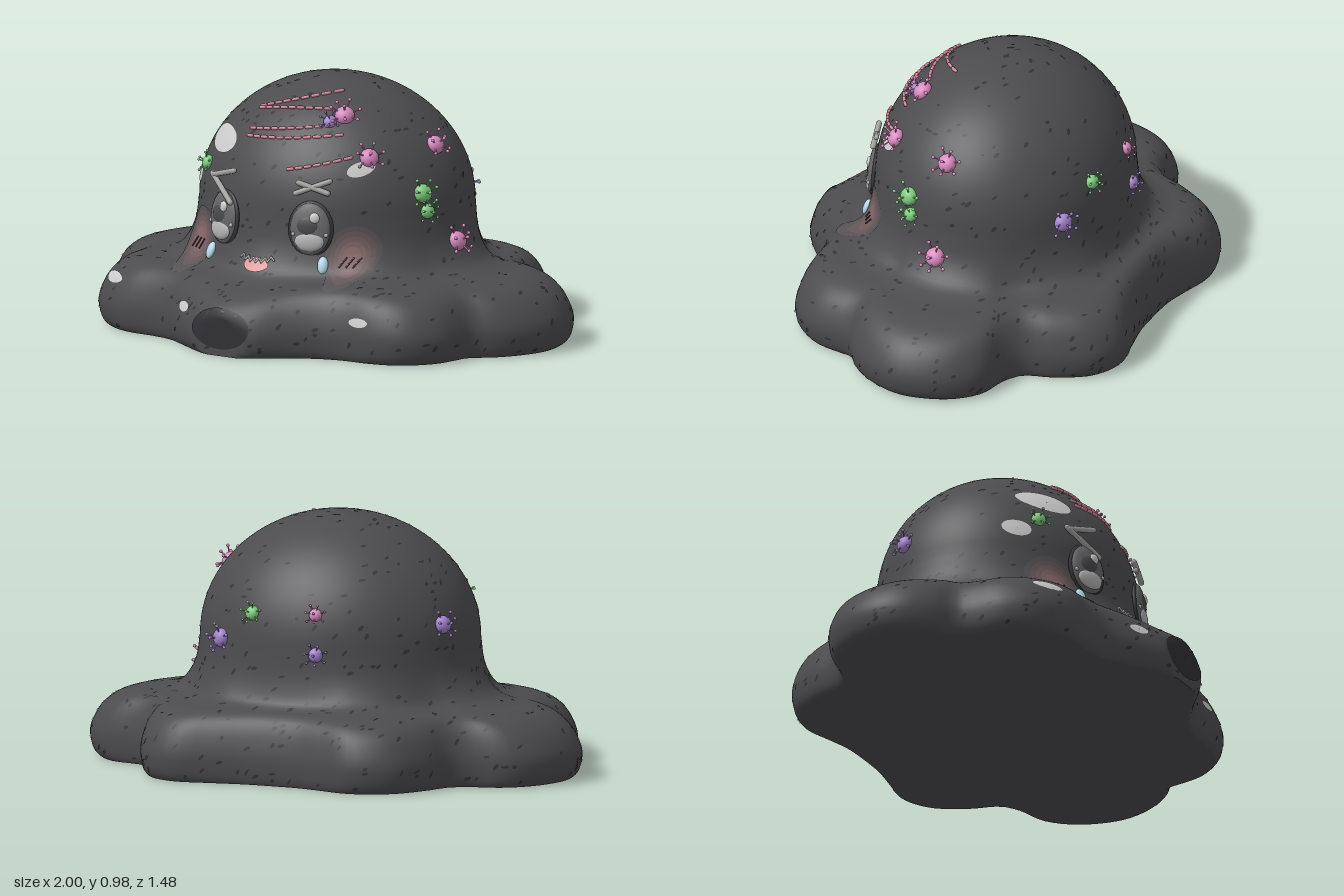
import * as THREE from 'three';
import { mergeGeometries } from 'three/addons/utils/BufferGeometryUtils.js';

const V = (x, y, z) => new THREE.Vector3(x, y, z);
const ZC = -0.035; // z of the dome axis
const mats = {};
const mat = (c) => (mats[c] ??= new THREE.MeshStandardMaterial({ color: c, side: THREE.DoubleSide }));

// Domed head flaring into a lobed skirt
function bodyGeometry() {
  const outline = new THREE.CatmullRomCurve3([
    [1, -.08], [.97, .05], [.9, .16], [.82, .23], [.81, .3], [.79, .4], [.7, .51], [.58, .55], [.45, .555], [.35, .58],
    [.25, .64], [.13, .735], [0, .79], [-.13, .735], [-.25, .66], [-.35, .6], [-.45, .58], [-.6, .57], [-.73, .5],
    [-.8, .38], [-.81, .28], [-.83, .2], [-.9, .15], [-.98, .04], [-1, -.08], [-.95, -.24], [-.85, -.34], [-.72, -.375],
    [-.65, -.42], [-.6, -.55], [-.52, -.68], [-.37, -.745], [-.22, -.71], [-.12, -.685], [0, -.68], [.12, -.685],
    [.25, -.71], [.4, -.735], [.52, -.68], [.6, -.55], [.64, -.43], [.71, -.385], [.85, -.35], [.95, -.25],
  ].map(([x, z]) => V(x, 0, z)), true);
  const N = 160, ring = outline.getSpacedPoints(N).slice(0, N);
  const skirt = new THREE.CatmullRomCurve3([
    [0, .5], [.04, .4], [.16, .315], [.35, .28], [.6, .265], [.8, .232], [.93, .175], [1, .1], [.975, .035], [.9, 0], [.8, 0],
  ].map(([f, y]) => V(f, y, 0))).getPoints(40);
  const pos = [], idx = [];
  const rows = [];
  for (let i = 0; i < 24; i++) {
    const a = (Math.max(i, .02) / 24) * Math.PI / 2;
    rows.push({ s: Math.sin(a), f: 0, y: .5 + .48 * Math.cos(a) });
  }
  skirt.forEach((p) => rows.push({ s: 1, f: p.x, y: Math.max(0, p.y) }));
  rows.push({ s: .001, f: 0, y: 0 });
  for (const { s, f, y } of rows) {
    for (const o of ring) {
      const a = Math.atan2(o.z - ZC, o.x), c = Math.cos(a), d = Math.sin(a);
      const r = s / Math.hypot(c / .545, d / .485);
      const x = c * r + (o.x - c * r) * f;
      const z = ZC + d * r + (o.z - ZC - d * r) * f;
      const low = o.z > 0 ? 1 - .25 * f * Math.exp(-((o.x / .25) ** 2)) : 1;
      pos.push(x, y * low, Math.min(z, .735));
    }
  }
  for (let j = 0; j < rows.length - 1; j++) {
    for (let i = 0; i < N; i++) {
      const a = j * N + i, b = j * N + (i + 1) % N;
      idx.push(a, b, a + N, b, b + N, a + N);
    }
  }
  const g = new THREE.BufferGeometry();
  g.setAttribute('position', new THREE.Float32BufferAttribute(pos, 3));
  g.setIndex(idx);
  g.computeVertexNormals();
  return g;
}

export function createModel() {
  const root = new THREE.Group();
  const body = new THREE.Mesh(bodyGeometry(), new THREE.MeshStandardMaterial({ color: 0x4c4c4f }));
  body.name = 'body';
  root.add(body);

  // Surface lookups: from the front, or sideways toward the dome axis
  const ray = new THREE.Raycaster();
  const cast = (from, dir) => {
    ray.set(from, dir.normalize());
    const h = ray.intersectObject(body)[0];
    return h && { p: h.point, n: h.normal.clone().normalize() };
  };
  const front = (x, y) => cast(V(x, y, 3), V(0, 0, -1));
  const around = (x, y, z) => {
    const d = V(x, 0, z - ZC).normalize();
    return cast(V(0, y, ZC).addScaledVector(d, 3), d.negate());
  };
  const add = (name, geo, color, parent = root) => {
    const m = new THREE.Mesh(geo, mat(color));
    m.name = name;
    parent.add(m);
    return m;
  };
  const place = (o, h, off = 0) => {
    o.position.copy(h.p).addScaledVector(h.n, off);
    o.lookAt(o.position.clone().add(h.n));
    return o;
  };
  const ball = (name, r, color, parent, x, y, z, sx = 1, sy = 1, sz = 1) => {
    const m = add(name, new THREE.SphereGeometry(r, 20, 14), color, parent);
    m.position.set(x, y, z);
    m.scale.set(sx, sy, sz);
    return m;
  };
  const rod = (name, a, b, r, color, parent = root) => {
    const m = add(name, new THREE.CapsuleGeometry(r, a.distanceTo(b), 3, 8), color, parent);
    m.position.lerpVectors(a, b, .5);
    m.quaternion.setFromUnitVectors(V(0, 1, 0), b.clone().sub(a).normalize());
    return m;
  };
  const lift = (x, y, off) => { const h = front(x, y); return h.p.addScaledVector(h.n, off); };

  // Elliptical patch or ring hugging the surface
  function patch(name, cx, cy, rx, ry, color, tilt = 0, inner = 0, off = .004) {
    const g = new THREE.RingGeometry(Math.max(inner, .01), 1, 28, 4), p = g.attributes.position;
    for (let i = 0; i < p.count; i++) {
      const x = p.getX(i) * rx, y = p.getY(i) * ry, c = Math.cos(tilt), s = Math.sin(tilt);
      const q = lift(cx + x * c - y * s, cy + x * s + y * c, off);
      p.setXYZ(i, q.x, q.y, q.z);
    }
    g.computeVertexNormals();
    add(name, g, color);
  }

  // Dark speckles scattered over the skin
  let seed = 7;
  const rnd = () => (seed = (seed * 16807) % 2147483647) / 2147483647;
  const P = body.geometry.attributes.position, Nn = body.geometry.attributes.normal, specks = [];
  while (specks.length < 520) {
    const i = Math.floor(rnd() * P.count), p = V().fromBufferAttribute(P, i), n = V().fromBufferAttribute(Nn, i);
    if (p.y < .02 || (p.y > .85 && rnd() > .25)) continue;
    const o = place(new THREE.Object3D(), { p, n }, .002);
    o.rotateZ(rnd() * 1.2);
    o.scale.set(.008 + rnd() * .009, .004 + rnd() * .004, 1);
    o.updateMatrix();
    specks.push(new THREE.CircleGeometry(1, 7).applyMatrix4(o.matrix));
  }
  add('speckles', mergeGeometries(specks), 0x343437);

  // Cut end of the front lobe and pale spots
  patch('frontLobeEnd', 0, .105, .13, .078, 0x303034);
  [[-.29, .74, .09, .048, 0], [-.43, .59, .036, .035, 0], [-.65, .195, .055, .02, 0], [-.22, .155, .035, .02, 0],
    [.51, .155, .042, .017, 0], [.34, .69, .04, .027, .3]].forEach((a) => patch('paleSpot', a[0], a[1], a[2], a[3], 0xd4d4d4, a[4]));

  // Face, mirrored left and right
  for (const s of [-1, 1]) {
    const eye = place(new THREE.Group(), front(s * .2, .465));
    eye.name = s > 0 ? 'leftEye' : 'rightEye';
    root.add(eye);
    ball('eyeRim', 1, 0x38383b, eye, 0, 0, 0, .09, .108, .018);
    ball('eyeball', 1, 0x666668, eye, 0, 0, .006, .08, .1, .024);
    ball('eyeGlowLower', 1, 0xb4b4b6, eye, 0, -.045, .018, .058, .04, .016);
    ball('eyePupil', 1, 0x4a4a4d, eye, -.006, .012, .02, .046, .04, .014);
    ball('eyeHighlight', 1, 0xc8c8ca, eye, .02, .045, .026, .02, .021, .01);
    for (const k of [-1, 1]) ball('eyeSparkle', .008, 0xb4b4b6, eye, k * .065, -.02, .018);

    const tear = place(add('tear', new THREE.SphereGeometry(1, 16, 12), 0xb4d8e8), front(s * .258, .33), .006);
    tear.scale.set(.021, .034, .014);

    // Blush fades outward in rings
    [0x565153, 0x625557, 0x6f5a5c, 0x7b6062, 0x866567].forEach((c, i) => {
      const k = 1 - i * .17;
      patch('blush', s * .35, .365, .09 * k, .115 * k, c, 0, i < 4 ? (k - .17) / k : 0, .003);
    });
    for (const k of [-1, 0, 1]) {
      const x = s * .35 + k * .024;
      rod('blushLine', lift(x - .009, .325, .005), lift(x + .009, .36, .005), .003, 0x4a3436);
    }
  }
  const brow = (x0, y0, x1, y1) => rod('browBar', lift(x0, y0, .02), lift(x1, y1, .02), .011, 0xa5a4a2);
  brow(-.27, .612, -.15, .645);
  brow(-.275, .617, -.15, .53);
  brow(.14, .597, .255, .645);
  brow(.145, .635, .255, .602);

  // Mouth: tongue under a zigzag lip
  patch('tongue', 0, .315, .055, .027, 0xe09a9a, 0, 0, .007);
  const zig = [...Array(13)].map((_, i) => {
    const t = i / 6 - 1;
    return lift(t * .075, .328 + .012 * t * t + (i % 2 ? .01 : -.006), .012);
  });
  for (let i = 0; i < 12; i++) rod('zigzagLip', zig[i], zig[i + 1], .004, 0xb0aeac);

  // Dashed stitches across the forehead
  [[-.16, .87, 0, .915, .14, .945], [-.16, .865, 0, .892, .16, .89], [-.15, .8, 0, .815, .2, .84],
    [-.15, .775, .05, .785, .25, .81], [.08, .68, .2, .7, .31, .735]].forEach((a) => {
    const c = new THREE.QuadraticBezierCurve3(V(a[0], a[1], 0), V(a[2], a[3], 0), V(a[4], a[5], 0));
    const n = Math.round(c.getLength() / .036);
    for (let i = 0; i < n; i++) {
      const p = c.getPointAt((i + .15) / n), q = c.getPointAt((i + .7) / n);
      rod('stitch', lift(p.x, p.y, .004), lift(q.x, q.y, .004), .0065, 0xd98a9c);
    }
  });

  // Spiky germs stuck on the skin
  const PINK = 0xd98abf, GREEN = 0x7fce7f, PURPLE = 0xa384cf;
  [[.2, .87, .2, .038, PINK], [.35, .73, .25, .036, PINK], [.47, .75, -.02, .036, PINK], [.58, .39, -.02, .038, PINK],
    [-.11, .64, -.5, .025, PINK], [.51, .59, .12, .036, GREEN], [.53, .52, .11, .028, GREEN], [-.36, .64, .3, .028, GREEN],
    [.16, .63, -.48, .028, GREEN], [.17, .85, .25, .026, PURPLE], [.31, .52, -.43, .036, PURPLE],
    [-.12, .49, -.52, .028, PURPLE], [-.51, .59, -.2, .034, PURPLE]].forEach(([x, y, z, r, color]) => {
    const germ = place(new THREE.Group(), around(x, y, z), r * .15);
    germ.name = 'germ';
    root.add(germ);
    ball('germBody', r, color, germ, 0, 0, 0, 1, 1, .8);
    const spike = (d) => {
      rod('germSpike', d.clone().multiplyScalar(r * .7), d.clone().multiplyScalar(r * 1.55), r * .08, color, germ);
      const tip = d.multiplyScalar(r * 1.65);
      ball('germTip', r * .18, color, germ, tip.x, tip.y, tip.z);
    };
    for (let i = 0; i < 7; i++) {
      const a = i / 7 * Math.PI * 2 + .3;
      spike(V(Math.cos(a), Math.sin(a), i % 2 ? .7 : .25).normalize());
    }
    spike(V(0, 0, .85));
  });
  return root;
}
